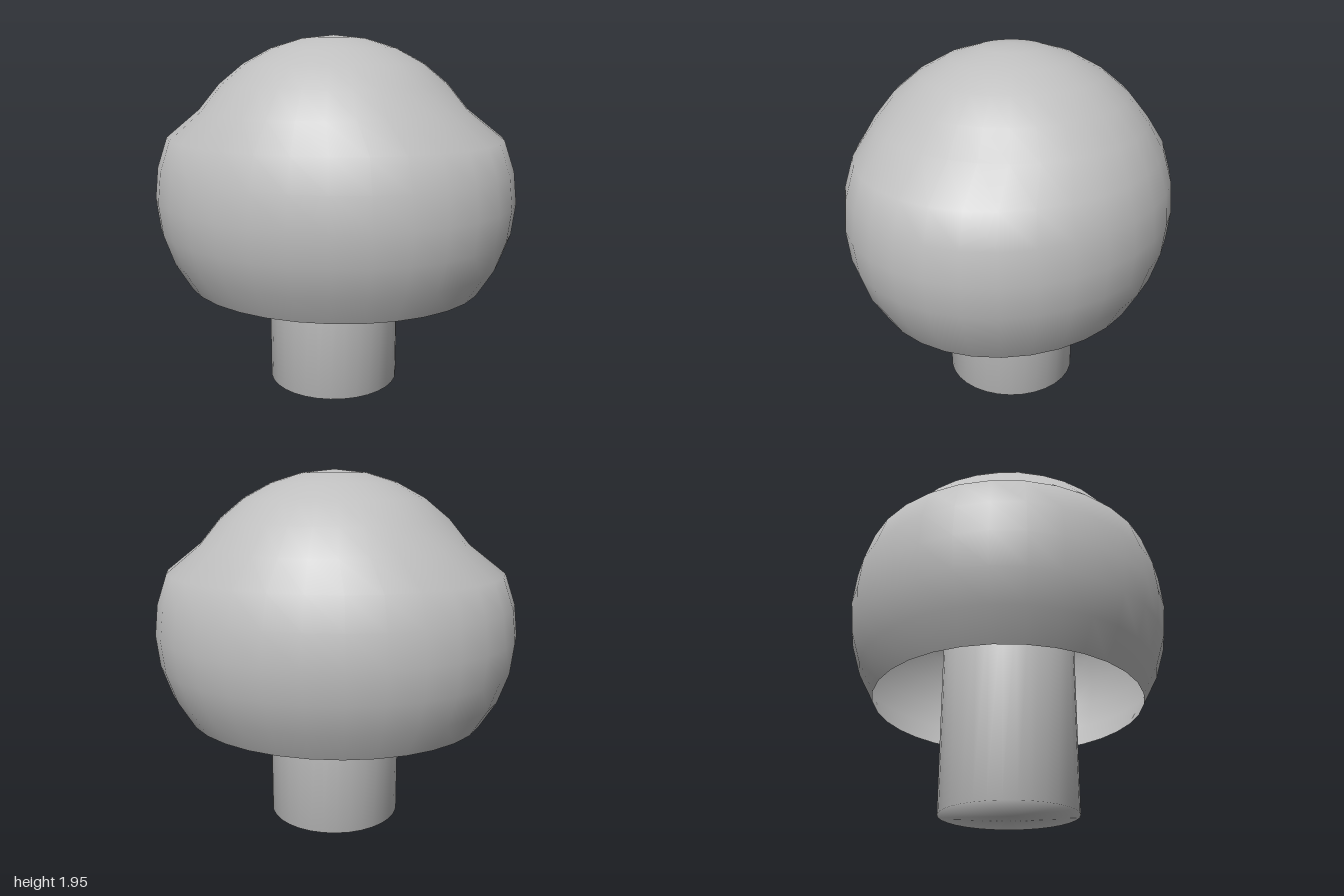
import * as THREE from 'three';
import { mergeVertices } from 'three/addons/utils/BufferGeometryUtils.js';

const R = 0.875;      // cap radius
const CAP_Y = 1.07;   // height of the cap's centre
const STEP = Math.PI / 16;

// Weld all corners so shading runs smoothly over the whole surface
function smooth(geometry) {
  geometry.deleteAttribute('normal');
  geometry.deleteAttribute('uv');
  const welded = mergeVertices(geometry, 1e-4);
  welded.computeVertexNormals();
  return welded;
}

export function createModel() {
  const model = new THREE.Group();
  model.name = 'mushroom';
  const grey = new THREE.MeshStandardMaterial({ color: 0xbfbfbf, side: THREE.DoubleSide });
  grey.name = 'grey';

  // Cap: hollow sphere cut open below, its lower rings widened sideways
  const dome = new THREE.SphereGeometry(R, 32, 11, 0, Math.PI * 2, 0, 11 * STEP);
  const p = dome.attributes.position;
  const shoulder = R * Math.cos(5.5 * STEP);
  for (let i = 0; i < p.count; i++) {
    if (p.getY(i) < shoulder) p.setX(i, p.getX(i) / R);
  }
  const cap = new THREE.Mesh(smooth(dome), grey);
  cap.name = 'cap';
  cap.position.y = CAP_Y;
  model.add(cap);

  // Stem: closed cylinder reaching up inside the cap
  const stem = new THREE.Mesh(smooth(new THREE.CylinderGeometry(0.367, 0.367, CAP_Y, 32)), grey);
  stem.name = 'stem';
  stem.position.y = CAP_Y / 2;
  model.add(stem);

  return model;
}
